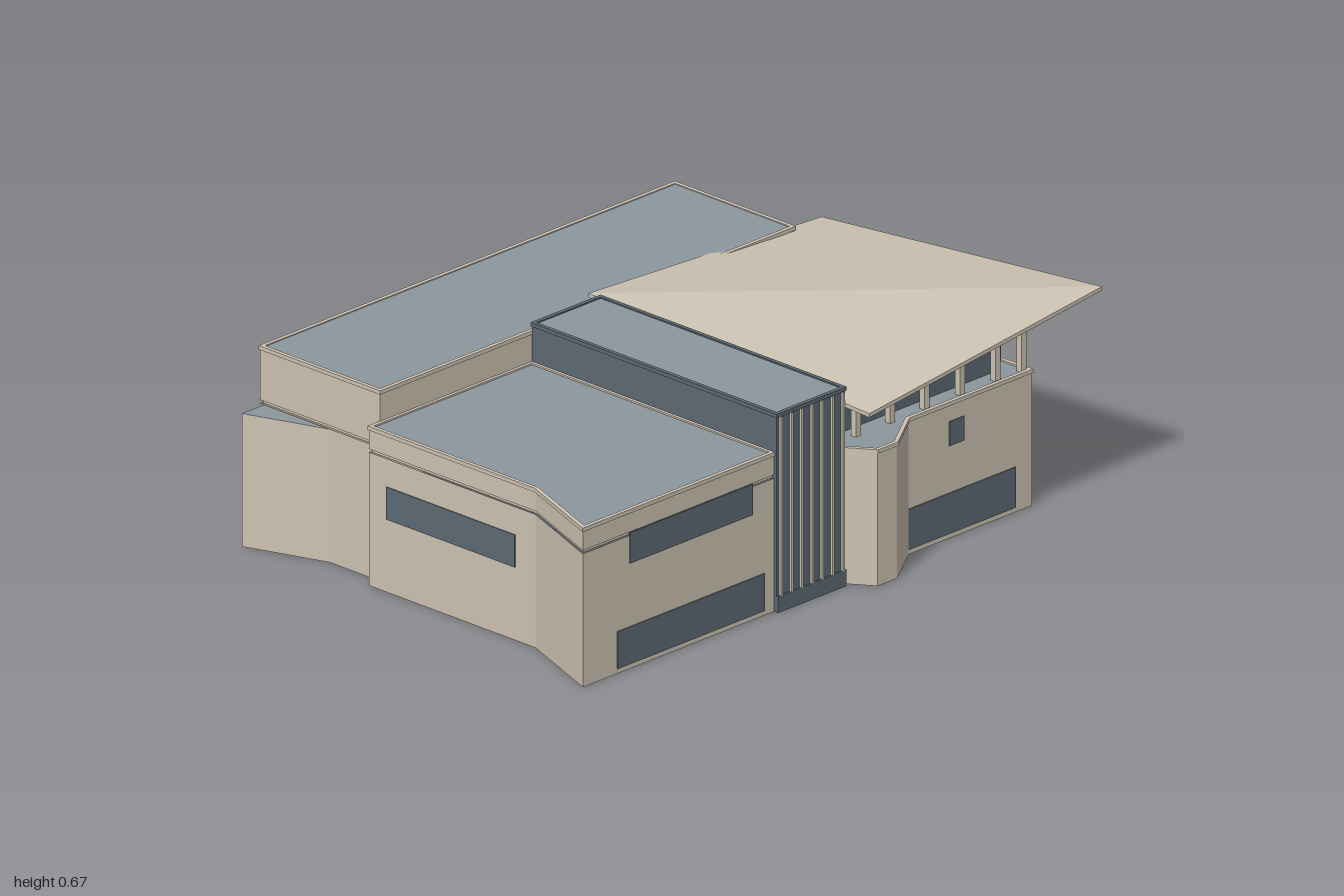
import * as THREE from 'three';

const mat = (name, color) =>
  new THREE.MeshStandardMaterial({ name, color, side: THREE.DoubleSide });

// Offsets a closed [x, z] outline outwards by d
function offset(pts, d) {
  const n = pts.length;
  const normal = (a, b) => {
    const l = Math.hypot(b[0] - a[0], b[1] - a[1]);
    return [(b[1] - a[1]) / l, (a[0] - b[0]) / l];
  };
  return pts.map((p, i) => {
    const a = normal(pts[(i + n - 1) % n], p), b = normal(p, pts[(i + 1) % n]);
    const k = d / (1 + a[0] * b[0] + a[1] * b[1]);
    return [p[0] + k * (a[0] + b[0]), p[1] + k * (a[1] + b[1])];
  });
}

// Upright wall strip following an outline
function ribbon(pts, y0, y1, closed = true) {
  const v = [];
  const count = closed ? pts.length : pts.length - 1;
  for (let i = 0; i < count; i++) {
    const [ax, az] = pts[i], [bx, bz] = pts[(i + 1) % pts.length];
    v.push(ax, y0, az, bx, y1, bz, bx, y0, bz, ax, y0, az, ax, y1, az, bx, y1, bz);
  }
  const g = new THREE.BufferGeometry();
  g.setAttribute('position', new THREE.Float32BufferAttribute(v, 3));
  g.computeVertexNormals();
  return g;
}

const toShape = (pts) => new THREE.Shape(pts.map(([x, z]) => new THREE.Vector2(x, -z)));

// Flat horizontal sheet
const sheet = (pts, y) =>
  new THREE.ShapeGeometry(toShape(pts)).rotateX(-Math.PI / 2).translate(0, y, 0);

// Thin rim around the top of an outline
function rim(pts, y, h = 0.012) {
  const s = toShape(offset(pts, 0.003));
  s.holes.push(toShape(offset(pts, -0.01)));
  return new THREE.ExtrudeGeometry(s, { depth: h, bevelEnabled: false })
    .rotateX(-Math.PI / 2).translate(0, y, 0);
}

export function createModel() {
  const stone = mat('warm stone', 0xcdc2b2);
  const slate = mat('slate roof', 0x8c969e);
  const glass = mat('blue grey glass', 0x5c6973);
  const model = new THREE.Group();

  const add = (name, geometry, material) => {
    const m = new THREE.Mesh(geometry, material);
    m.name = name;
    model.add(m);
    return m;
  };
  // Box given by its limits on each axis
  const block = (name, material, x0, x1, y0, y1, z0, z1) =>
    add(name, new THREE.BoxGeometry(x1 - x0, y1 - y0, z1 - z0)
      .translate((x0 + x1) / 2, (y0 + y1) / 2, (z0 + z1) / 2), material);

  // Outlines, each running front, left side, back, right side
  const leftWing = [[-0.22, 0.66], [-1, 0.66], [-0.885, 0.36], [-0.885, -0.3], [-0.22, -0.3]];
  const backBlock = [[-0.84, -0.3], [-0.84, -0.775], [0.852, -0.775], [0.852, -0.3]];
  const rightWing = [[0.06, 0.65], [0.06, -0.3], [0.852, -0.3], [0.852, 0.64],
    [0.35, 0.64], [0.2, 0.74], [0.12, 0.74]];
  const tower = [[0.06, 0.67], [-0.22, 0.67], [-0.22, -0.3], [0.06, -0.3]];
  const fin = [[-0.84, -0.5], [-0.93, -0.76], [-0.84, -0.76]];
  const perimeter = [...leftWing.slice(0, 4), ...backBlock, ...rightWing.slice(3), rightWing[0]];

  // Lower walls and the shadow groove above them
  add('lowerWalls', ribbon(perimeter, 0, 0.411, false), stone);
  add('groove', ribbon(offset(perimeter, -0.006), 0.411, 0.421, false), stone);

  // Left wing upper band and roof
  add('leftWingFascia', ribbon(leftWing.slice(0, 4), 0.421, 0.482, false), stone);
  add('leftWingRim', rim(leftWing, 0.48), stone);
  add('leftWingRoof', sheet(leftWing, 0.487), slate);

  // Back block upper walls and roof
  add('backBlockFascia', ribbon(backBlock, 0.421, 0.578), stone);
  add('backBlockRim', rim(backBlock, 0.576), stone);
  add('backBlockRoof', sheet(backBlock, 0.585), slate);

  // Right wing terrace
  add('terraceRim', rim(rightWing, 0.409), stone);
  add('terraceFloor', sheet(rightWing, 0.416), slate);

  // Splayed fin at the rear corner
  add('cornerFin', ribbon(fin, 0, 0.41), stone);
  add('cornerFinTop', sheet(fin, 0.41), slate);

  // Glazed tower with upright fins
  add('towerWalls', ribbon(tower, 0, 0.608), glass);
  add('towerRim', rim(tower, 0.6), glass);
  add('towerRoof', sheet(tower, 0.608), slate);
  block('towerBase', glass, -0.22, 0.06, 0, 0.05, 0.668, 0.676);
  for (let i = 0; i < 7; i++) {
    const x = -0.206 + i * 0.042;
    block('towerFin', stone, x - 0.004, x + 0.004, 0.05, 0.6, 0.668, 0.678);
  }

  // Clerestory glass and its columns
  block('clerestory', glass, 0.13, 0.78, 0.416, 0.54, -0.29, 0.57);
  const column = (x, z) => block('column', stone, x - 0.01, x + 0.01, 0.416, 0.556, z - 0.01, z + 0.01);
  for (const x of [0.16, 0.3, 0.44, 0.585, 0.73]) column(x, 0.615);
  column(0.83, 0.62);
  for (const z of [0.52, 0.375, 0.235, 0.09, -0.055, -0.2]) column(0.83, z);

  // Folded roof plate: two triangles meeting on a diagonal ridge
  const top = [[0.05, 0.562, 0.775], [1, 0.67, 0.775], [1, 0.562, -0.338], [0.05, 0.61, -0.338]];
  const corners = [...top, ...top.map(([x, y, z]) => [x, y - 0.012, z])];
  const faces = [0, 1, 3, 1, 2, 3, 4, 7, 5, 5, 7, 6];
  for (let i = 0; i < 4; i++) {
    const j = (i + 1) % 4;
    faces.push(i, i + 4, j + 4, i, j + 4, j);
  }
  const plate = new THREE.BufferGeometry();
  plate.setAttribute('position',
    new THREE.Float32BufferAttribute(faces.flatMap((i) => corners[i]), 3));
  plate.computeVertexNormals();
  add('foldedRoof', plate, stone);

  // Front windows: x0, x1, y0, y1, wall z
  for (const [x0, x1, y0, y1, z] of [
    [-0.81, -0.31, 0.325, 0.42, 0.66], [-0.86, -0.26, 0.015, 0.13, 0.66],
    [0.12, 0.785, 0.015, 0.14, 0.64], [0.515, 0.575, 0.285, 0.36, 0.64],
  ]) block('frontWindow', glass, x0, x1, y0, y1, z - 0.001, z + 0.003);

  // Rear windows
  block('rearWindow', glass, 0.13, 0.715, 0.375, 0.44, -0.779, -0.774);
  block('rearWindow', glass, -0.67, 0.13, 0.38, 0.472, -0.779, -0.774);

  // Side windows
  for (const [z0, z1, y0, y1] of [
    [0.495, 0.545, 0.05, 0.41], [0.18, 0.23, 0.05, 0.41], [-0.105, -0.033, 0.015, 0.145],
  ]) block('rightWindow', glass, 0.851, 0.855, y0, y1, z0, z1);
  block('leftWindow', glass, -0.888, -0.884, 0.225, 0.325, -0.23, 0.28);

  return model;
}
